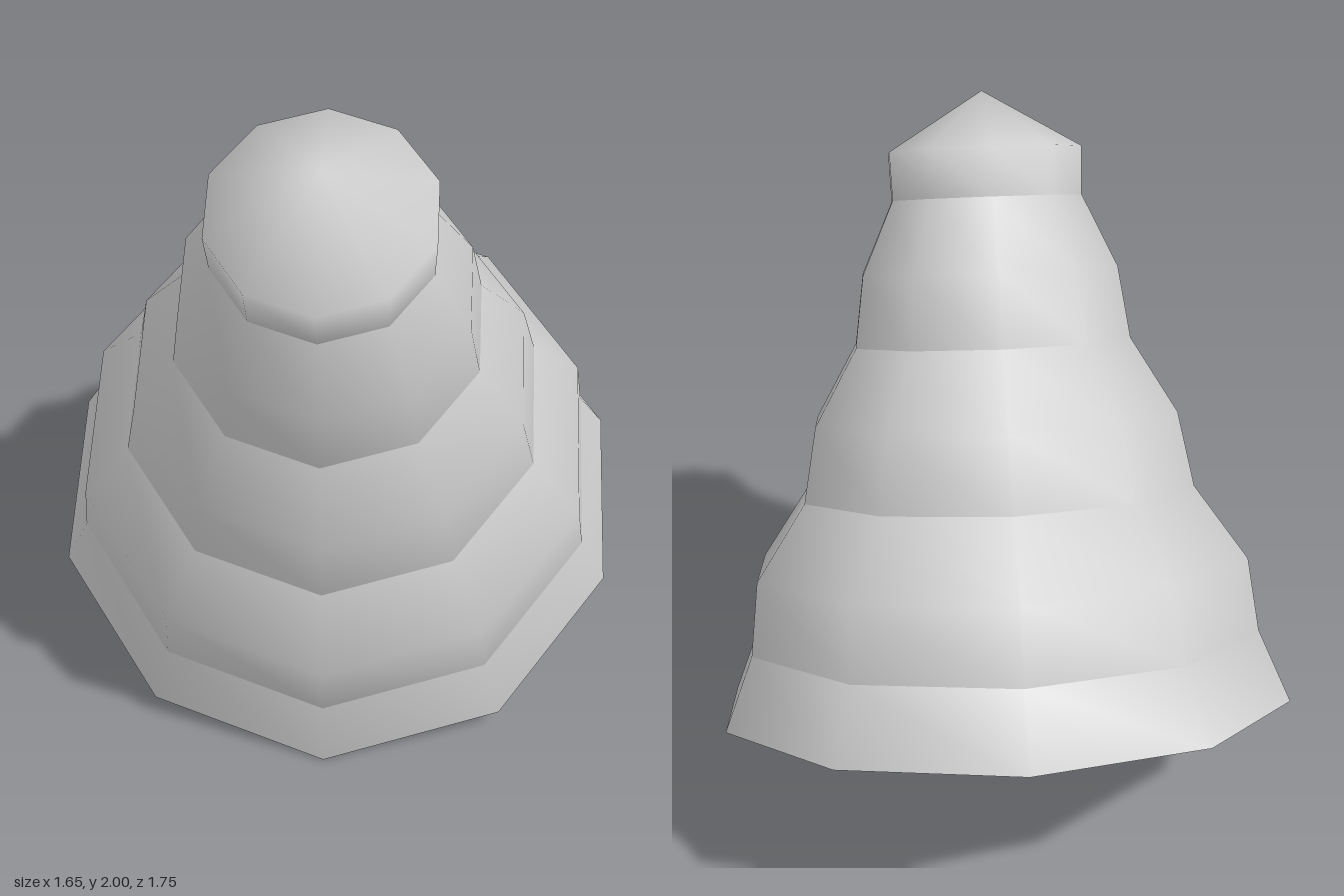
import * as THREE from 'three';
import { mergeVertices } from 'three/addons/utils/BufferGeometryUtils.js';

const SIDES = 10;

// Rings along the axis: [radius, height]
const rings = [
  [0.866, 0], [0.777, 0.212], [0.749, 0.426], [0.596, 0.64], [0.552, 0.858],
  [0.419, 1.076], [0.387, 1.284], [0.287, 1.492], [0.291, 1.63], [0, 1.8],
];

// Each tier is smooth inside and meets its neighbours at a sharp edge
const tiers = [
  ['baseRim', 0, 1],
  ['lowerTier', 1, 3],
  ['middleTier', 3, 5],
  ['upperTier', 5, 7],
  ['tipCap', 7, 9],
];

function tierGeometry(from, to) {
  const profile = rings.slice(from, to + 1).map(([r, h]) => new THREE.Vector2(r, h));
  const lathe = new THREE.LatheGeometry(profile, SIDES);
  // Weld the seam and the apex so the shading runs smoothly round
  lathe.deleteAttribute('uv');
  lathe.deleteAttribute('normal');
  const geometry = mergeVertices(lathe, 1e-4);
  geometry.computeVertexNormals();
  return geometry;
}

export function createModel() {
  const grey = new THREE.MeshStandardMaterial({ color: 0xcccccc, side: THREE.DoubleSide });
  grey.name = 'lightGrey';

  // Hollow tiered cone, open at the bottom and leaning to the front
  const cone = new THREE.Group();
  cone.name = 'tieredCone';
  for (const [name, from, to] of tiers) {
    const mesh = new THREE.Mesh(tierGeometry(from, to), grey);
    mesh.name = name;
    cone.add(mesh);
  }
  cone.rotation.x = THREE.MathUtils.degToRad(25.7);
  cone.position.set(0, 0.377, -0.09);

  const model = new THREE.Group();
  model.name = 'leaningCone';
  model.add(cone);
  return model;
}
